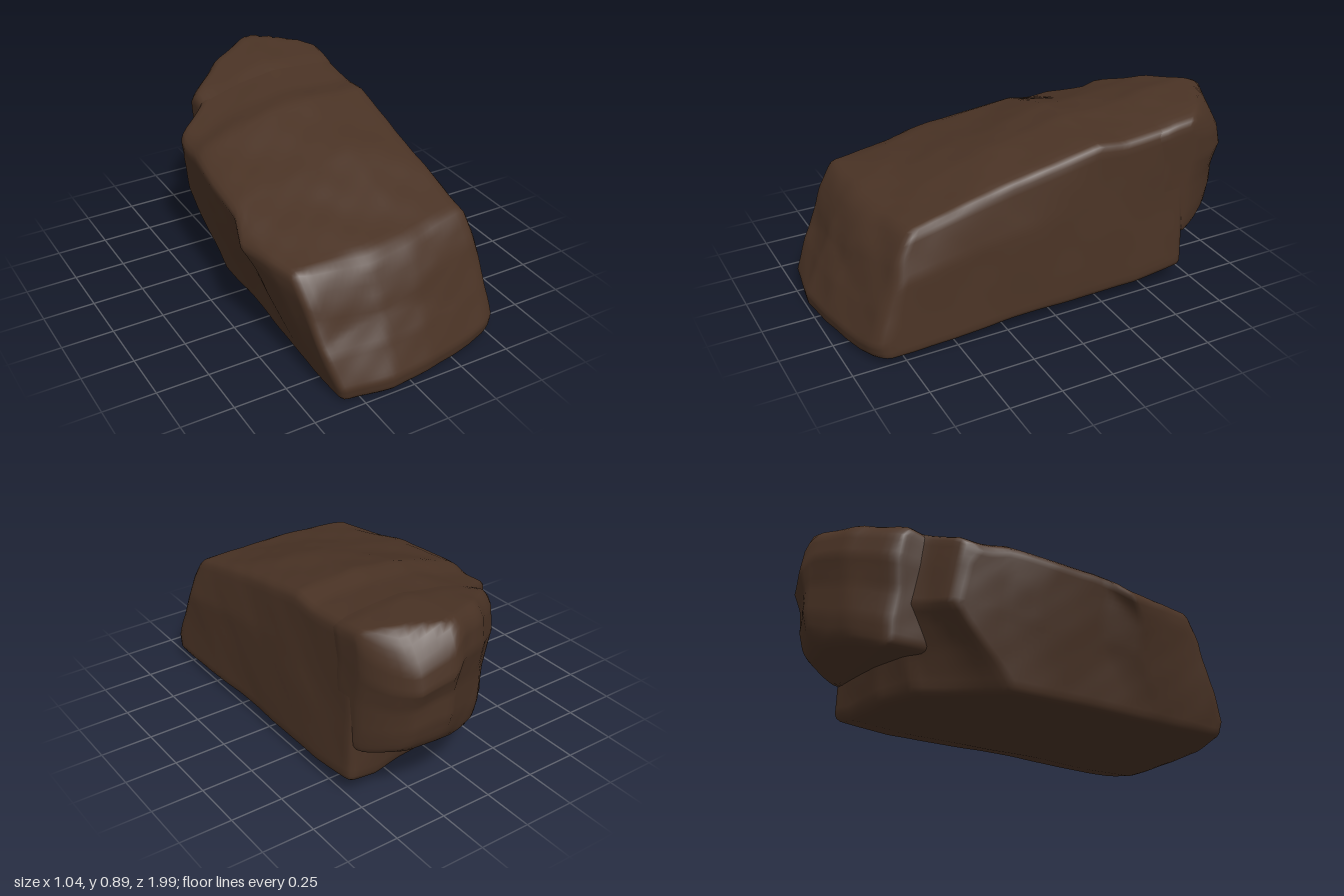
import * as THREE from 'three';
import { mergeVertices } from 'three/addons/utils/BufferGeometryUtils.js';

const lerp = THREE.MathUtils.lerp;

// Piecewise linear lookup through [position, value] pairs in rising order
function curve(points, v) {
  if (v <= points[0][0]) return points[0][1];
  for (let i = 1; i < points.length; i++) {
    const [a, fa] = points[i - 1], [b, fb] = points[i];
    if (v <= b) return lerp(fa, fb, (v - a) / (b - a));
  }
  return points[points.length - 1][1];
}

// Gentle weathering
function bumps(x, y, z) {
  return 0.6 * Math.sin(8 * x + 4 * y + 2 * z) * Math.sin(6 * z - 5 * y + 1)
    + 0.3 * Math.sin(14 * z - 8 * x) * Math.sin(13 * y + 3 + 6 * x)
    + 0.1 * Math.sin(31 * x + 13 * z) * Math.sin(29 * y - 19 * z);
}

// Height of the sloping upper surface, with the rear right corner broken off
const ridge = [[-0.93, 0.89], [-0.6, 0.86], [-0.35, 0.83], [-0.22, 0.84], [0, 0.785],
  [0.2, 0.74], [0.6, 0.625], [0.72, 0.592], [0.8, 0.54], [0.87, 0.46]];
const sideDrop = [[-0.53, 0.28], [-0.48, 0.19], [-0.39, 0.13], [-0.25, 0.09], [-0.05, 0.03], [0.15, 0], [0.38, 0.015], [0.5, 0.03]];
const dropAlong = [[-0.3, 1], [0, 0.75], [0.2, 0.6], [0.4, 0.5], [0.75, 0.2]];
const topHeight = (x, z) => curve(ridge, z) - curve(sideDrop, x) * curve(dropAlong, z)
  - 1.2 * Math.max(0, 0.6 * (x - 0.2) - 0.8 * (z + 0.93));

// Softly bevelled box whose unit coordinates are bent into a stone by a rule
function stone(size, segments, bevel, rule) {
  let geo = new THREE.BoxGeometry(...size, ...segments);
  geo.deleteAttribute('uv');
  geo.deleteAttribute('normal');
  geo = mergeVertices(geo);
  const pos = geo.attributes.position;
  const half = new THREE.Vector3(...size).multiplyScalar(0.5);
  const inner = half.clone().subScalar(bevel);
  const p = new THREE.Vector3(), core = new THREE.Vector3();
  for (let i = 0; i < pos.count; i++) {
    p.fromBufferAttribute(pos, i);
    core.copy(p).clamp(inner.clone().negate(), inner);
    p.sub(core).normalize().multiplyScalar(bevel).add(core);
    p.divide(half).addScalar(1).multiplyScalar(0.5);
    const [x, y, z] = rule(p.x, p.y, p.z);
    const n = bumps(x, y, z) * 0.014;
    pos.setXYZ(i, x + n * (p.x - 0.5), Math.max(0, y + n * (p.y - 0.3)), z + n * 1.5 * (p.z - 0.5));
  }
  geo.computeVertexNormals();
  return geo;
}

// Main block: leaning front, undercut left flank, clipped back corner
const leftPlan = [[-0.7, -0.445], [-0.4, -0.46], [-0.2, -0.475], [0.2, -0.485], [0.42, -0.53], [0.7, -0.495], [0.94, -0.45]];
const rightTop = [[-0.7, 0.495], [-0.4, 0.488], [0, 0.472], [0.4, 0.455], [0.8, 0.44]];
const frontLean = [[0, 0.985], [0.17, 1], [0.5, 0.94], [0.85, 0.86], [1, 0.78]];
const frontPlan = [[-0.5, -0.09], [-0.38, -0.04], [-0.1, 0], [0.1, -0.02], [0.45, -0.1], [0.52, -0.14]];
const backPlan = [[-0.47, -0.3], [-0.43, -0.44], [-0.27, -0.55], [-0.18, -0.64], [0.5, -0.69]];
const backFoot = [[-0.35, -0.12], [-0.1, -0.51], [0.1, -0.61], [0.35, -0.66], [0.5, -0.69]];

function mainRule(s, t, w) {
  const z0 = lerp(-0.7, 0.95, w);
  const left = lerp(-0.335, curve(leftPlan, z0), t);
  const right = curve([[0, 0.522], [0.65, 0.497], [1, curve(rightTop, z0)]], t);
  const x = lerp(left, right, s);
  const front = curve(frontLean, t) + curve(frontPlan, x);
  const back = lerp(curve(backFoot, x), curve(backPlan, x), Math.min(t / 0.5, 1));
  const z = lerp(back, front, w);
  const base = curve([[-0.7, 0.06], [-0.4, 0.03], [0.3, 0.02], [0.7, 0.005]], z)
    + curve([[0.36, 0], [0.5, 0.035]], x);
  return [x, lerp(base, topHeight(x, z), t), z];
}

// Overhanging ledge at the back, pointed in plan and hollow beneath
const ledgePlan = [[-0.25, -0.69], [-0.05, -0.87], [0.2, -1], [0.37, -0.96], [0.44, -0.87], [0.5, -0.76]];
const ledgeBack = [[0, 0.06], [0.2, 0.035], [0.45, 0.03], [0.7, 0], [0.9, 0.02], [1, 0.06]];

function ledgeRule(s, t, w) {
  const z0 = lerp(-0.9, -0.3, w);
  const left = curve([[0, -0.19], [0.7, -0.25], [1, -0.265]], t);
  const x = lerp(left, curve([[-0.68, 0.5], [-0.35, 0.46]], z0), s);
  const z = lerp(curve(ledgePlan, x) + curve(ledgeBack, t), -0.3, w);
  const base = curve([[-0.95, 0.39], [-0.88, 0.33], [-0.7, 0.255]], z) - 0.05 * (1 - s);
  const lift = curve([[-0.62, 0.01], [-0.35, -0.025]], z);
  return [x, lerp(base, topHeight(x, z) + lift, t), z];
}

export function createModel() {
  const group = new THREE.Group();
  group.name = 'rock';
  const brown = new THREE.MeshStandardMaterial({ color: 0x4a3325 });
  brown.name = 'dark brown stone';

  const add = (name, geometry) => {
    const mesh = new THREE.Mesh(geometry, brown);
    mesh.name = name;
    group.add(mesh);
  };
  add('mainBlock', stone([1, 0.75, 1.7], [32, 24, 50], 0.035, mainRule));
  add('backLedge', stone([0.75, 0.58, 0.65], [26, 20, 22], 0.04, ledgeRule));
  return group;
}
